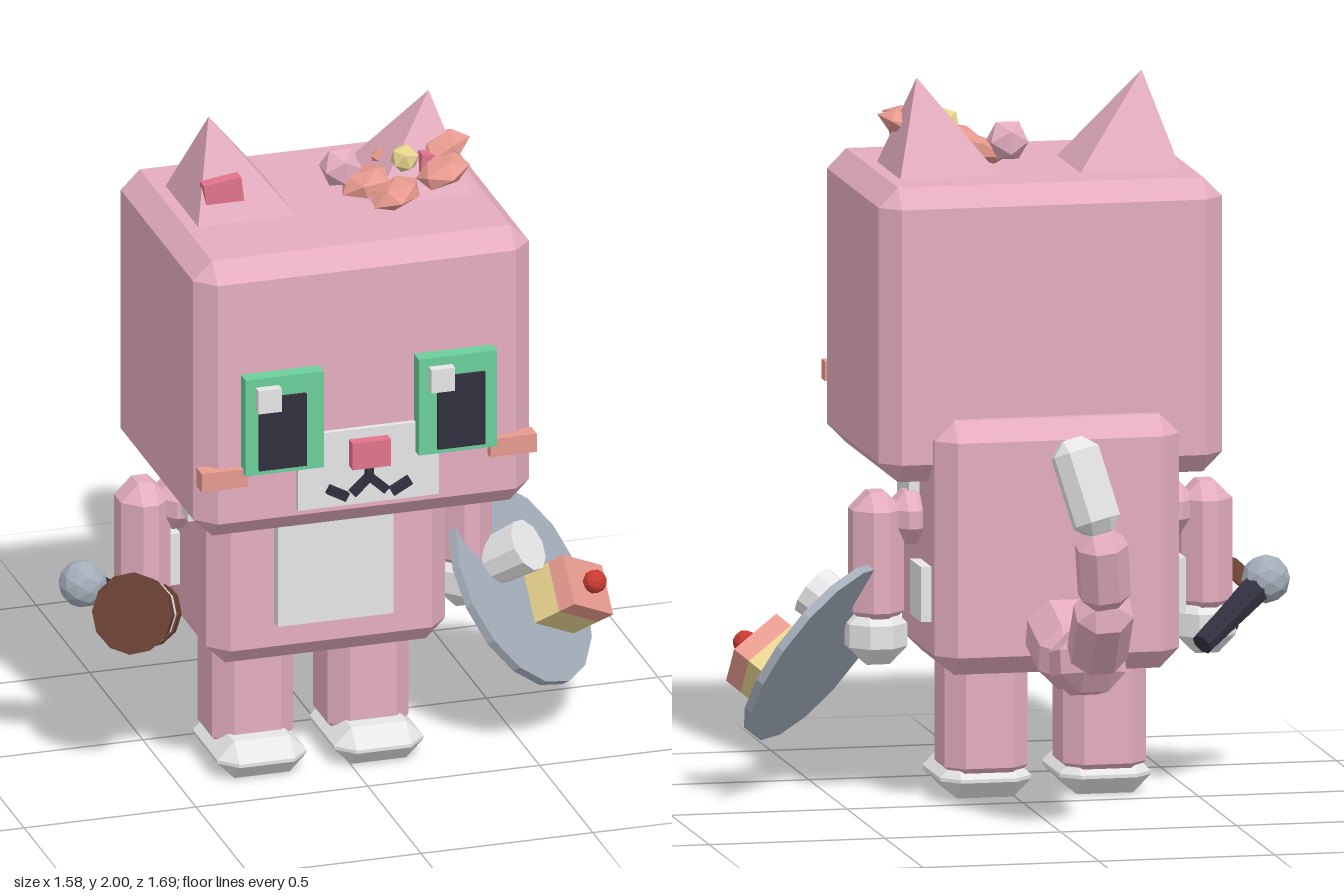
import * as THREE from 'three';
import { ConvexGeometry } from 'three/addons/geometries/ConvexGeometry.js';

const mat = (name, color, extra = {}) => {
  const m = new THREE.MeshStandardMaterial({ color, flatShading: true, ...extra });
  m.name = name;
  return m;
};

export function createModel() {
  const pink = mat('pink fur', 0xe4adbf), white = mat('white fur', 0xe6e6e6);
  const green = mat('green', 0x6bcf9b), dark = mat('dark navy', 0x30303f);
  const rose = mat('rose', 0xe2748b), salmon = mat('salmon', 0xea9c90);
  const brown = mat('brown', 0x694032), steel = mat('steel', 0xa3adb8);
  const yellow = mat('cream yellow', 0xe6d28e), cherry = mat('cherry red', 0xc83a30);

  const model = new THREE.Group();
  const CX = -0.087; // body's middle line

  const add = (name, geo, material, pos, parent = model) => {
    const m = new THREE.Mesh(geo, material);
    m.name = name;
    m.position.set(...pos);
    parent.add(m);
    return m;
  };
  const box = (name, size, material, pos, parent) =>
    add(name, new THREE.BoxGeometry(...size), material, pos, parent);

  // box with every edge cut off by c
  const chamferGeo = (w, h, d, c) => {
    const pts = [];
    for (const x of [-1, 1]) for (const y of [-1, 1]) for (const z of [-1, 1])
      for (let axis = 0; axis < 3; axis++) {
        const half = [w / 2 - c, h / 2 - c, d / 2 - c];
        half[axis] += c;
        pts.push(new THREE.Vector3(x * half[0], y * half[1], z * half[2]));
      }
    return new ConvexGeometry(pts);
  };
  // chamfered box given by its ranges
  const block = (name, [x0, x1], [y0, y1], [z0, z1], c, material) =>
    add(name, chamferGeo(x1 - x0, y1 - y0, z1 - z0, c), material,
      [(x0 + x1) / 2, (y0 + y1) / 2, (z0 + z1) / 2]);
  // turn a mesh so its y axis runs from a to b
  const UP = new THREE.Vector3(0, 1, 0);
  const along = (mesh, a, b) => {
    const d = new THREE.Vector3(...b).sub(new THREE.Vector3(...a)).normalize();
    mesh.quaternion.setFromUnitVectors(UP, d);
    return mesh;
  };
  const middle = (a, b) => a.map((v, i) => (v + b[i]) / 2);
  const distance = (a, b) => Math.hypot(...a.map((v, i) => v - b[i]));

  // head, torso and belly
  block('head', [-0.575, 0.402], [0.91, 1.74], [-0.02, 0.77], 0.055, pink);
  block('torso', [-0.435, 0.26], [0.375, 1.09], [-0.1, 0.44], 0.055, pink);
  box('bellyPatch', [0.335, 0.44, 0.05], white, [CX, 0.725, 0.455]);

  for (const s of [-1, 1]) {
    const x = (o) => CX + s * o;
    const range = (a, b) => [x(a), x(b)].sort((p, q) => p - q);

    // legs and feet
    block('leg', range(0.05, 0.286), [0.04, 0.45], [0.055, 0.29], 0.05, pink);
    block('foot', range(0.04, 0.3), [0, 0.11], [0.055, 0.385], 0.05, white);

    // arms and paws
    block('shoulder', range(0.31, 0.44), [0.715, 0.865], [0.095, 0.25], 0.05, pink);
    block('arm', range(0.395, 0.54), [0.48, 0.865], [0.09, 0.255], 0.05, pink);
    block('paw', range(0.385, 0.55), [0.38, 0.545], [0.09, 0.255], 0.05, white);

    // pale markings on the flanks
    box('upperFlankPatch', [0.04, 0.17, 0.155], white, [x(0.357), 0.865, 0.232]);
    box('lowerFlankPatch', [0.04, 0.155, 0.145], white, [x(0.357), 0.597, 0.07]);

    // ears: four-sided pyramids leaning outwards
    const px = [0.11, 0.4], apex = new THREE.Vector3(x(0.32), 2, 0.318);
    const corners = [apex];
    for (const o of px) for (const z of [0.165, 0.478])
      corners.push(new THREE.Vector3(x(o), 1.735, z));
    add('ear', new ConvexGeometry(corners), pink, [0, 0, 0]);
    box('innerEar', [0.11, 0.09, 0.04], rose, [x(0.313), 1.81, 0.425]).rotation.z = -s * 0.12;

    // eyes
    box('iris', [0.228, 0.29, 0.06], green, [x(0.252), 1.265, 0.785]);
    box('pupil', [0.138, 0.218, 0.03], dark, [x(0.26), 1.244, 0.81]);
    box('eyeGlint', [0.068, 0.07, 0.03], white, [x(0.252) - 0.051, 1.35, 0.827]);

    // cheeks and mouth
    box('blush', [0.135, 0.055, 0.05], salmon, [x(0.42), 1.107, 0.77]);
    box('mouthInner', [0.065, 0.024, 0.02], dark, [x(0.026), 1.043, 0.793]).rotation.z = -s * 0.75;
    box('mouthOuter', [0.062, 0.026, 0.02], dark, [x(0.092), 1.028, 0.793]).rotation.z = s * 0.5;
  }

  // muzzle and nose
  box('muzzle', [0.41, 0.225, 0.04], white, [CX, 1.097, 0.766]);
  box('nose', [0.112, 0.08, 0.05], rose, [CX, 1.142, 0.795]);
  box('mouthStem', [0.022, 0.06, 0.02], dark, [CX, 1.08, 0.793]);

  // flower and bead on the head
  const flower = new THREE.Group();
  flower.name = 'flower';
  flower.position.set(0.14, 1.82, 0.43);
  flower.rotation.z = 0.34;
  model.add(flower);
  for (let i = 0; i < 5; i++) {
    const a = -Math.PI / 2 + i * Math.PI * 0.4;
    const petal = add('petal', new THREE.IcosahedronGeometry(0.08), salmon,
      [Math.cos(a) * 0.125, 0, Math.sin(a) * 0.125], flower);
    petal.scale.y = 0.45;
    petal.rotation.y = -a;
  }
  add('flowerCentre', new THREE.IcosahedronGeometry(0.042), yellow, [0, 0.035, 0], flower);
  add('bead', new THREE.IcosahedronGeometry(0.062), pink, [-0.03, 1.81, 0.34]);

  // tail: a chain of chamfered segments
  const tail = [[-0.09, 0.51, -0.06], [-0.09, 0.44, -0.32], [-0.09, 0.49, -0.55],
    [-0.075, 0.68, -0.735], [-0.05, 0.885, -0.795], [0.02, 1.145, -0.725]];
  const thick = [0.205, 0.185, 0.16, 0.14, 0.13];
  thick.forEach((t, i) => {
    const a = tail[i], b = tail[i + 1], tip = i === 4;
    const geo = chamferGeo(t, distance(a, b) + (tip ? 0 : 0.02), t * 0.95, t * 0.29);
    along(add(tip ? 'tailTip' : 'tailSegment', geo, tip ? white : pink, middle(a, b)), a, b);
  });

  // serving plate, with its own tilted frame
  const plate = new THREE.Group();
  plate.name = 'servingPlate';
  plate.position.set(0.54, 0.415, 0.19);
  plate.rotation.set(Math.PI / 4, 0, -0.7);
  model.add(plate);
  add('plateDisc', new THREE.CylinderGeometry(0.3, 0.3, 0.025, 16), steel, [0, 0, 0], plate);
  add('cup', new THREE.CylinderGeometry(0.077, 0.07, 0.12, 10), white, [-0.115, 0.07, -0.048], plate);
  box('cakeBase', [0.18, 0.09, 0.15], yellow, [0.1, 0.055, 0.045], plate);
  box('cakeIcing', [0.18, 0.055, 0.15], salmon, [0.1, 0.127, 0.045], plate);
  add('cakeCherry', new THREE.IcosahedronGeometry(0.034, 1), cherry, [0.1, 0.178, 0.045], plate);

  // small drum in the right paw: brown ends around a pale band
  const drum = new THREE.Group();
  drum.name = 'handDrum';
  const face = [-0.632, 0.53, 0.325], axis = [-0.5, 0.35, 0.79];
  drum.position.set(...face);
  along(drum, [0, 0, 0], axis);
  model.add(drum);
  [[0.115, 0.105, 0.07, -0.035, brown], [0.1, 0.098, 0.05, -0.095, white],
    [0.103, 0.1, 0.05, -0.145, brown]].forEach(([top, bottom, h, y, m]) =>
    add('drumSection', new THREE.CylinderGeometry(top, bottom, h, 12), m, [0, y, 0], drum));

  // microphone
  const ball = [-0.73, 0.575, 0.18], end = [-0.52, 0.42, 0.045];
  add('microphoneHead', new THREE.IcosahedronGeometry(0.069, 1), steel, ball);
  along(add('microphoneHandle', new THREE.CylinderGeometry(0.032, 0.045, distance(ball, end), 8),
    dark, middle(ball, end)), ball, end);

  return model;
}
